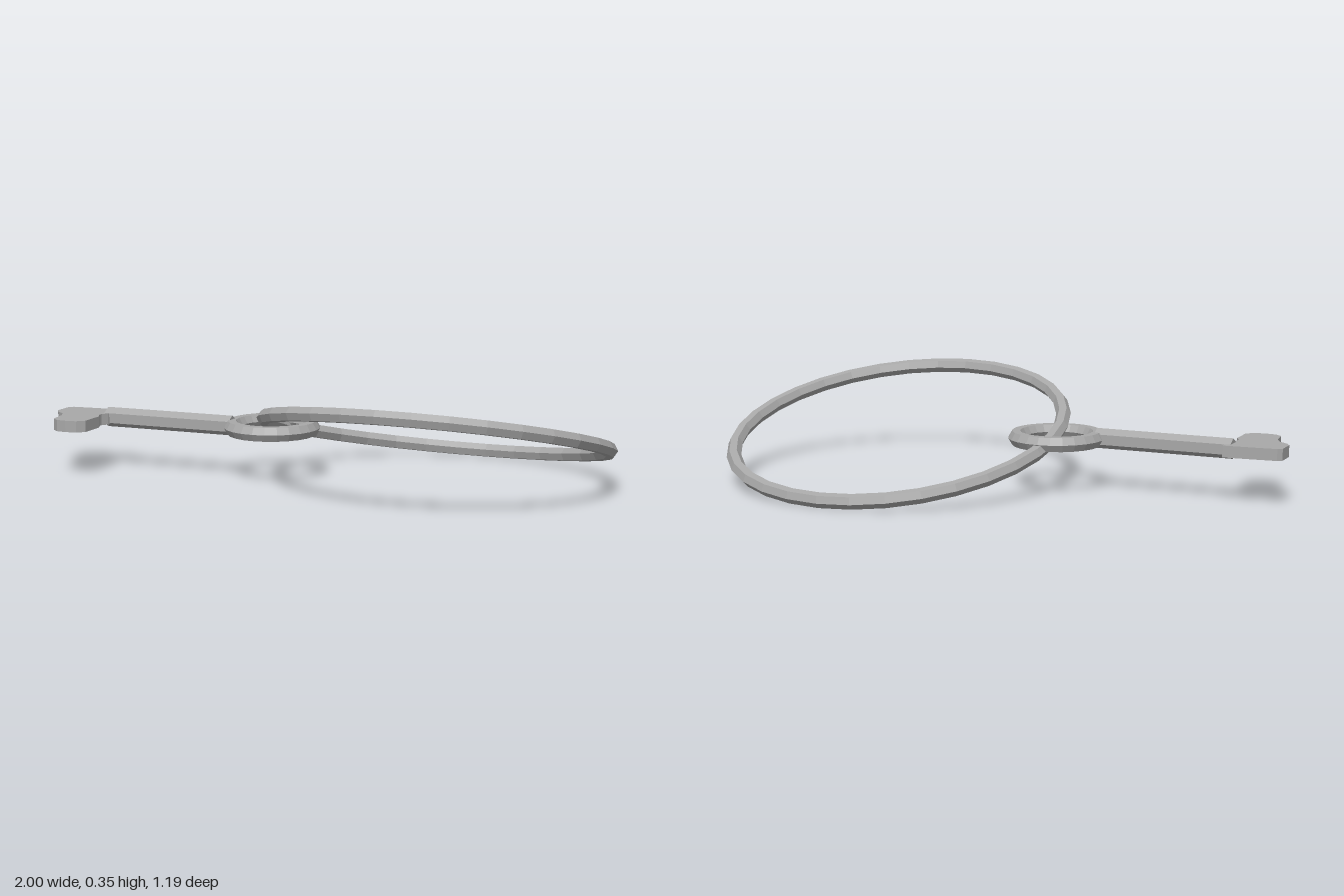
import * as THREE from 'three';

const MID_Y = 0.185;

export function createModel() {
  const model = new THREE.Group();
  model.name = 'keyOnRing';
  const iron = new THREE.MeshStandardMaterial({ color: 0xa8a8a8, flatShading: true });
  iron.name = 'iron grey';

  const add = (parent, name, geometry, x, y, z) => {
    const mesh = new THREE.Mesh(geometry, iron);
    mesh.name = name;
    mesh.position.set(x, y, z);
    parent.add(mesh);
    return mesh;
  };

  // Lying torus with a six-sided section, flat on top
  const hoop = (radius, tube, segments) =>
    new THREE.TorusGeometry(radius, tube, 6, segments).rotateX(Math.PI / 2);

  // Large carrying ring, front edge raised
  const ring = add(model, 'carryingRing', hoop(0.588, 0.026, 32), 0.386, MID_Y, 0);
  ring.rotation.x = -Math.PI / 12;

  // Key: bow, shaft and bit
  const key = new THREE.Group();
  key.name = 'key';
  model.add(key);
  add(key, 'bow', hoop(0.14, 0.028, 24), -0.195, MID_Y, 0.067);

  // Hexagonal shaft with an edge along the top
  const shaft = new THREE.CylinderGeometry(0.035, 0.035, 0.49, 6)
    .rotateY(Math.PI / 2)
    .rotateZ(Math.PI / 2);
  add(key, 'shaft', shaft, -0.575, MID_Y + 0.002, 0.105);

  // Flat bit, outlined in x and z
  const outline = [
    [-1, 0.075], [-0.985, 0.063], [-0.9, 0.056], [-0.8, 0.05],
    [-0.8, 0.14], [-0.815, 0.165], [-0.815, 0.18], [-0.8, 0.21],
    [-0.8, 0.305], [-0.825, 0.328], [-0.865, 0.333], [-0.9, 0.329],
    [-0.925, 0.308], [-0.935, 0.235], [-0.952, 0.2], [-0.985, 0.175], [-1, 0.15],
  ].map(([x, z]) => new THREE.Vector2(x, -z));
  const bit = new THREE.ExtrudeGeometry(new THREE.Shape(outline), { depth: 0.04, bevelEnabled: false })
    .rotateX(-Math.PI / 2);
  add(key, 'bit', bit, 0, MID_Y - 0.02, 0);

  return model;
}
